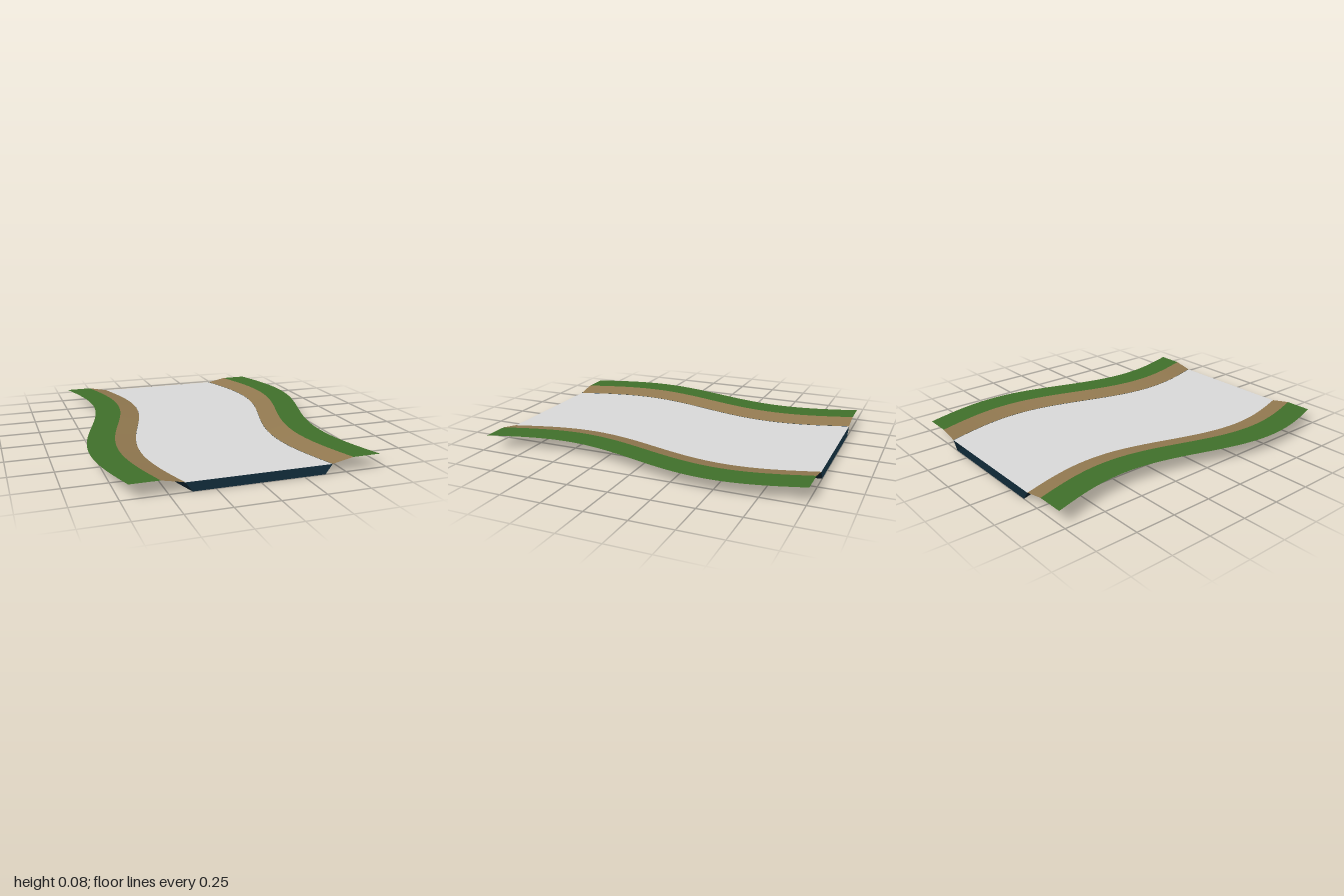
import * as THREE from 'three';

const SEGMENTS = 40;

function material(name, color) {
  const m = new THREE.MeshStandardMaterial({ color, side: THREE.DoubleSide });
  m.name = name;
  return m;
}

// Sideways swing of the river along its length
const bend = (z) => -0.1 * Math.sin(Math.PI * z);

// Strip between two profile points [x, y], left one first, swept along the bend
function strip(name, mat, a, b) {
  const geometry = new THREE.PlaneGeometry(1, 2, 1, SEGMENTS).rotateX(-Math.PI / 2);
  const p = geometry.attributes.position;
  for (let i = 0; i < p.count; i++) {
    const [x, y] = p.getX(i) < 0 ? a : b;
    p.setXYZ(i, x + bend(p.getZ(i)), y, p.getZ(i));
  }
  geometry.computeVertexNormals();
  const mesh = new THREE.Mesh(geometry, mat);
  mesh.name = name;
  return mesh;
}

export function createModel() {
  const model = new THREE.Group();
  model.name = 'riverSection';

  const grass = material('grassGreen', 0x40702a);
  const earth = material('earthBrown', 0x927950);
  const bed = material('deepBlue', 0x0d2431);
  const water = material('waterGrey', 0xd8d8d8);

  // Half profile, from the grass edge down to the river floor
  const outer = [0.705, 0.08];
  const crest = [0.54, 0.08];
  const lip = [0.415, 0.055];
  const foot = [0.375, 0];
  const flip = ([x, y]) => [-x, y];

  // Banks and bed walls on both sides
  const sides = [
    ['grass', grass, crest, outer],
    ['bank', earth, lip, crest],
    ['bedWall', bed, foot, lip],
  ];
  for (const [name, mat, inner, out] of sides) {
    model.add(strip(name + 'Left', mat, inner, out));
    model.add(strip(name + 'Right', mat, flip(out), flip(inner)));
  }

  // River floor and the water sheet above it, open at both ends
  model.add(strip('bedFloor', bed, flip(foot), foot));
  model.add(strip('waterSurface', water, [-0.416, 0.054], [0.416, 0.054]));

  return model;
}
